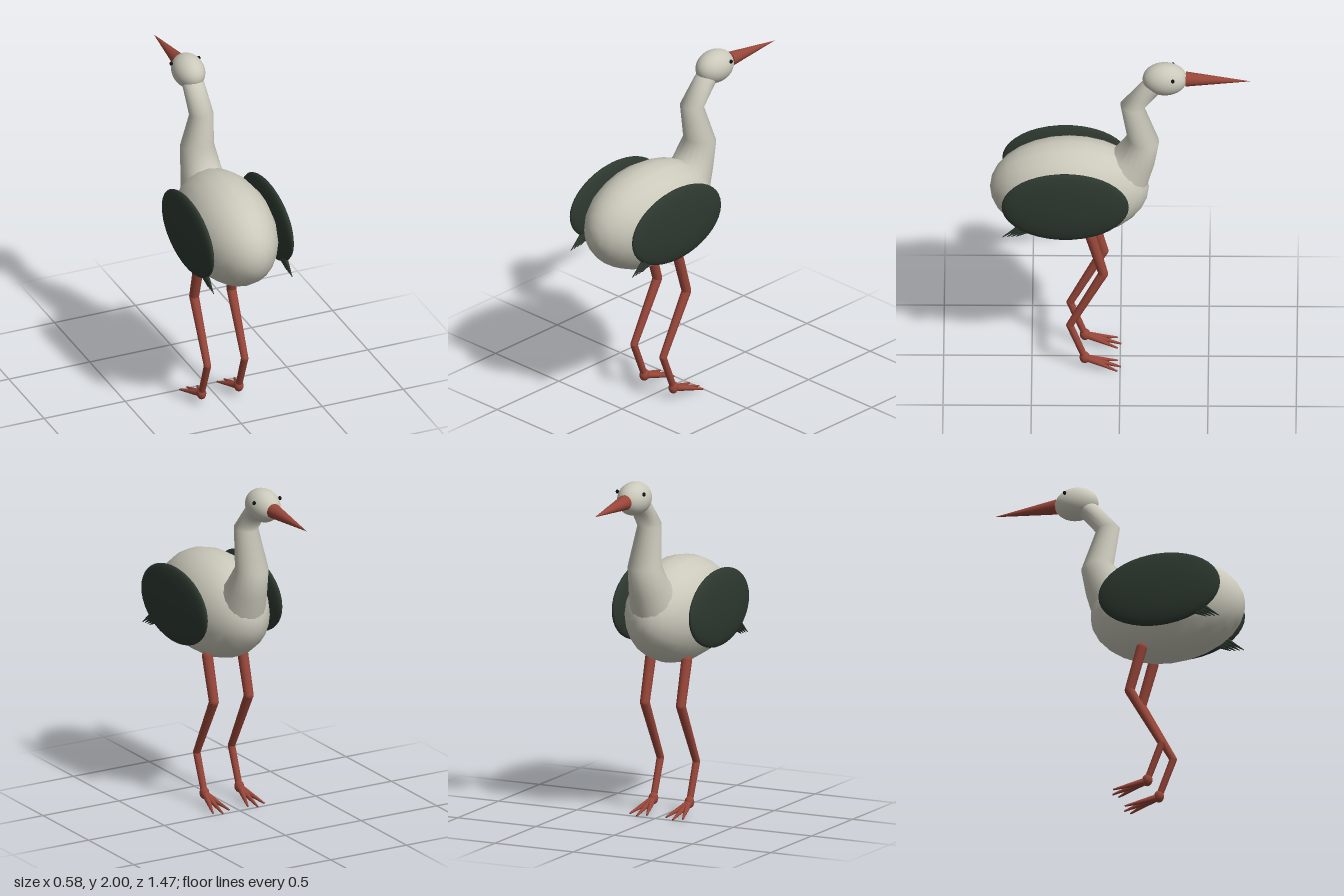
import * as THREE from 'three';

const mat = (name, color) => {
  const m = new THREE.MeshStandardMaterial({ color });
  m.name = name;
  return m;
};

// Tube through rings [y, z, radiusX, radiusInPlane, tiltY, tiltZ]; tilt points from ring centre to its back edge
function loft(rings, sides = 20) {
  const pos = [], idx = [];
  rings.forEach(([y, z, rx, r, ty, tz]) => {
    const l = Math.hypot(ty, tz);
    for (let i = 0; i < sides; i++) {
      const a = (i / sides) * Math.PI * 2, c = (Math.cos(a) * r) / l;
      pos.push(Math.sin(a) * rx, y + c * ty, z + c * tz);
    }
  });
  for (let j = 0; j < rings.length - 1; j++) {
    for (let i = 0; i < sides; i++) {
      const a = j * sides + i, b = j * sides + ((i + 1) % sides);
      idx.push(a, b, a + sides, b, b + sides, a + sides);
    }
  }
  const g = new THREE.BufferGeometry();
  g.setAttribute('position', new THREE.Float32BufferAttribute(pos, 3));
  g.setIndex(idx);
  g.computeVertexNormals();
  return g;
}

export function createModel() {
  const bird = new THREE.Group();
  bird.name = 'wadingBird';
  const white = mat('plumageWhite', 0xcbc9bb);
  const dark = mat('wingDark', 0x2d382f);
  const red = mat('beakAndLegRed', 0x984639);
  const black = mat('eyeBlack', 0x101010);

  const add = (name, geo, material, parent = bird) => {
    const m = new THREE.Mesh(geo, material);
    m.name = name;
    parent.add(m);
    return m;
  };
  const ellipsoid = (name, material, p, r, w, h, parent) => {
    const m = add(name, new THREE.SphereGeometry(1, w, h), material, parent);
    m.position.set(...p);
    m.scale.set(...r);
    return m;
  };
  // Tapered limb between two points
  const limb = (name, material, a, b, ra, rb, parent, sides = 12) => {
    const A = new THREE.Vector3(...a), B = new THREE.Vector3(...b);
    const d = B.clone().sub(A);
    const m = add(name, new THREE.CylinderGeometry(rb, ra, d.length(), sides), material, parent);
    m.position.copy(A).add(B).multiplyScalar(0.5);
    m.quaternion.setFromUnitVectors(new THREE.Vector3(0, 1, 0), d.normalize());
    return m;
  };

  // Body, with the sphere's poles along its length
  const bodyGeo = new THREE.SphereGeometry(1, 20, 14).rotateX(Math.PI / 2).scale(0.255, 0.305, 0.45);
  add('body', bodyGeo, white).position.set(0, 1.165, 0.288);

  // Bent neck
  add('neck', loft([
    [1.28, -0.04, 0.13, 0.165, 0.24, 0.2],
    [1.36, -0.075, 0.115, 0.125, 0.07, 0.2],
    [1.49, -0.13, 0.098, 0.092, 0.03, 0.18],
    [1.72, -0.067, 0.07, 0.068, 0.02, 0.135],
    [1.837, -0.165, 0.064, 0.058, 0.07, 0.09],
    [1.89, -0.22, 0.06, 0.055, 0.07, 0.09],
  ]), white);

  // Head and beak
  ellipsoid('head', white, [0, 1.905, -0.252], [0.091, 0.096, 0.126], 28, 20);
  limb('beak', red, [0, 1.904, -0.37], [0, 1.89, -0.735], 0.043, 0.0005, bird, 20);

  for (const s of [1, -1]) {
    const side = s > 0 ? 'left' : 'right';
    ellipsoid(side + 'Eye', black, [s * 0.085, 1.945, -0.298], [0.01, 0.012, 0.01], 10, 8);

    // Wing with a small fan of feathers at the rear
    const wing = new THREE.Group();
    wing.name = side + 'Wing';
    bird.add(wing);
    ellipsoid(side + 'WingShell', dark, [s * 0.246, 1.19, 0.31], [0.042, 0.224, 0.36], 32, 20, wing);
    for (let i = 0; i < 4; i++) {
      limb('wingFeather', dark, [s * 0.243, 1.08 - i * 0.012, 0.53 - i * 0.015],
        [s * 0.243, 0.98 + i * 0.002, 0.665 - i * 0.026], 0.018, 0.002, wing, 8);
    }

    // Leg: thigh, shin, ankle and toes
    const leg = new THREE.Group();
    leg.name = side + 'Leg';
    bird.add(leg);
    const joints = [[0.9, 0.167, 0.031], [0.645, 0.095, 0.028], [0.29, 0.285, 0.021], [0.07, 0.2, 0.019]];
    const x = s * 0.115;
    joints.forEach(([y, z, r], i) => {
      ellipsoid('legJoint', red, [x, y, z], [r, r, r], 12, 8, leg);
      const next = joints[i + 1];
      if (next) limb('legSegment', red, [x, y, z], [x, next[0], next[1]], r, next[2], leg);
    });
    ellipsoid('ankle', red, [x, 0.07, 0.2], [0.027, 0.036, 0.03], 14, 10, leg);
    for (const t of [-1, 0, 1]) {
      limb('toe', red, [x, 0.065, 0.19], [x + t * 0.054, t ? 0.012 : 0.006, t ? 0.015 : -0.005],
        0.021, 0.005, leg, 10);
    }
  }
  return bird;
}
